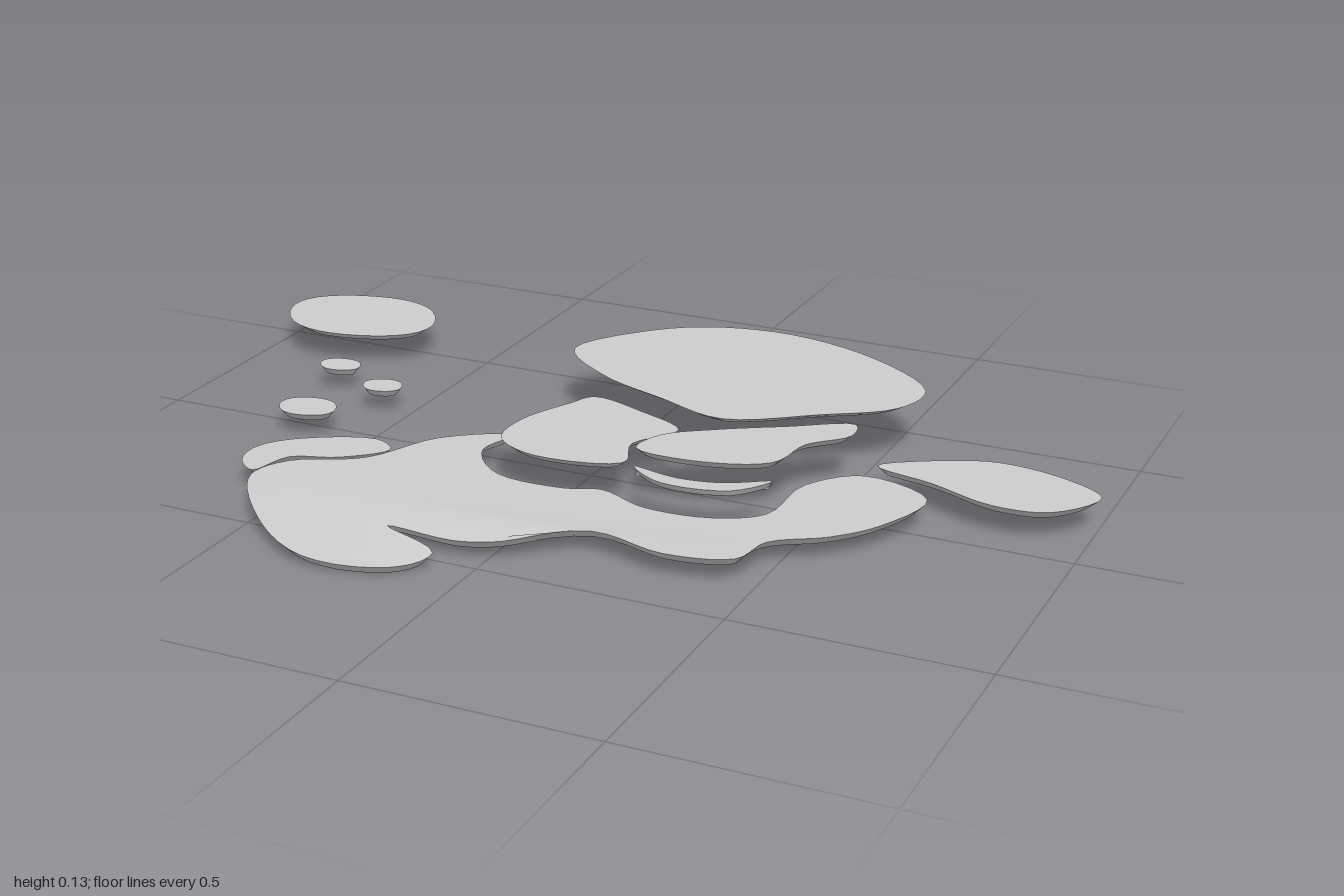
import * as THREE from 'three';
import { toCreasedNormals } from 'three/addons/utils/BufferGeometryUtils.js';

const wound = ring => (THREE.ShapeUtils.area(ring) < 0 ? ring.reverse() : ring);

// Smooth closed outline through x, z pairs given in hundredths of a unit.
function blob(...pts) {
  const knots = [];
  for (let i = 0; i < pts.length; i += 2) knots.push(new THREE.Vector3(pts[i] / 100, 0, pts[i + 1] / 100));
  const points = new THREE.CatmullRomCurve3(knots, true).getPoints(knots.length * 5).slice(0, -1);
  return wound(points.map(p => new THREE.Vector2(p.x, p.z)));
}

// Slightly uneven oval outline.
function oval(x, z, rx, rz) {
  const n = 36;
  return wound(Array.from({ length: n }, (_, i) => {
    const a = (i / n) * Math.PI * 2;
    const r = 1 + 0.025 * Math.sin(4 * a);
    return new THREE.Vector2(x + rx * r * Math.cos(a), z + rz * r * Math.sin(a));
  }));
}

// Thin slab whose underside is drawn in, with an optional sag towards the front tail.
function plateGeometry(ring, base, thickness, inset, dip) {
  const n = ring.length;
  const sag = (x, z) => dip * THREE.MathUtils.smoothstep(z, 0.38, 0.58)
    * (0.4 + 0.6 * THREE.MathUtils.smoothstep(x, -0.55, -0.2));
  const top = [], bottom = [], index = [];
  ring.forEach((p, i) => {
    const t = ring[(i + 1) % n].clone().sub(ring[(i + n - 1) % n]).normalize();
    const y = base - sag(p.x, p.y);
    top.push(p.x, y + thickness, p.y);
    bottom.push(p.x - t.y * inset, y, p.y + t.x * inset);
  });
  // Top and underside faces
  for (let [a, b, c] of THREE.ShapeUtils.triangulateShape(ring, [])) {
    if (THREE.ShapeUtils.area([ring[a], ring[b], ring[c]]) > 0) [b, c] = [c, b];
    index.push(a, b, c, a + n, c + n, b + n);
  }
  // Sloped rim
  for (let i = 0; i < n; i++) {
    const j = (i + 1) % n;
    index.push(i, j, i + n, j, j + n, i + n);
  }
  const geometry = new THREE.BufferGeometry();
  geometry.setAttribute('position', new THREE.Float32BufferAttribute([...top, ...bottom], 3));
  geometry.setIndex(index);
  return toCreasedNormals(geometry, Math.PI / 6);
}

export function createModel() {
  const group = new THREE.Group();
  const grey = new THREE.MeshStandardMaterial({ color: 0xcccccc });
  grey.name = 'light grey';

  const addPlate = (name, ring, base, thickness, inset, dip = 0) => {
    const mesh = new THREE.Mesh(plateGeometry(ring, base, thickness, inset, dip), grey);
    mesh.name = name;
    group.add(mesh);
  };

  // Upper layers
  addPlate('largeUpperPlate', blob(
    -21, -36, -12, -52, 0, -61, 18, -64, 40, -57, 56, -43, 54, -31, 41, -21, 24, -10.5, 8, -16, -8, -23,
  ), 0.113, 0.016, 0.028);
  addPlate('curvedInnerPlate', blob(
    13.5, 8, 15, -0.5, 24, -8, 36, -15.5, 48, -22.5, 49.5, -16, 43, -8, 40.5, 3.5, 28, 9,
  ), 0.097, 0.018, 0.02);
  addPlate('innerPlate', blob(
    -8, -18.5, 4, -15, 15.5, -8.5, 10, 2, 12.5, 12, -5, 16, -15, 10.5, -16, 0, -11, -13,
  ), 0.081, 0.016, 0.02);
  addPlate('sliverPlate', blob(15, 12.5, 25, 14.5, 34, 13, 42.5, 8, 37, 16, 23, 18), 0.083, 0.014, 0.009);

  // Long winding lower layer with its hooked, sagging tail
  addPlate('longLowerPlate', blob(
    -18.5, -2, -20.5, 8, -12, 18, 3, 19, 10, 16.5, 21, 21, 35, 20, 43.5, 14, 45, -2.5, 54, -12,
    69, -6, 65, 10, 58, 19, 48.5, 26, 46, 35.5, 33, 39, 17, 35.5, 3, 45, -6, 47.5, -20.5, 47,
    -8, 52, -13, 60, -30, 63, -45, 54, -56, 39, -53, 30, -40, 22, -31.5, 6,
  ), 0.034, 0.019, 0.018, 0.032);

  // Side pieces
  addPlate('leafPlate', blob(
    55.5, -15, 66, -23, 77, -27, 92, -24, 100, -18, 93, -7, 82, -5.5, 68, -11,
  ), 0.046, 0.02, 0.022);
  addPlate('finPlate', blob(
    -63, 26, -58, 19, -43, 12, -37.5, 16, -45, 24, -54, 28, -57, 37, -62, 33,
  ), 0.036, 0.016, 0.016);

  // Outlying ovals
  addPlate('roundOuterPlate', oval(-0.818, -0.49, 0.182, 0.138), 0.056, 0.017, 0.024);
  addPlate('pebbleBack', oval(-0.725, -0.233, 0.048, 0.037), 0.036, 0.016, 0.012);
  addPlate('pebbleMiddle', oval(-0.575, -0.158, 0.045, 0.038), 0.036, 0.016, 0.012);
  addPlate('pebbleFront', oval(-0.655, 0.02, 0.065, 0.052), 0.036, 0.016, 0.014);
  return group;
}
